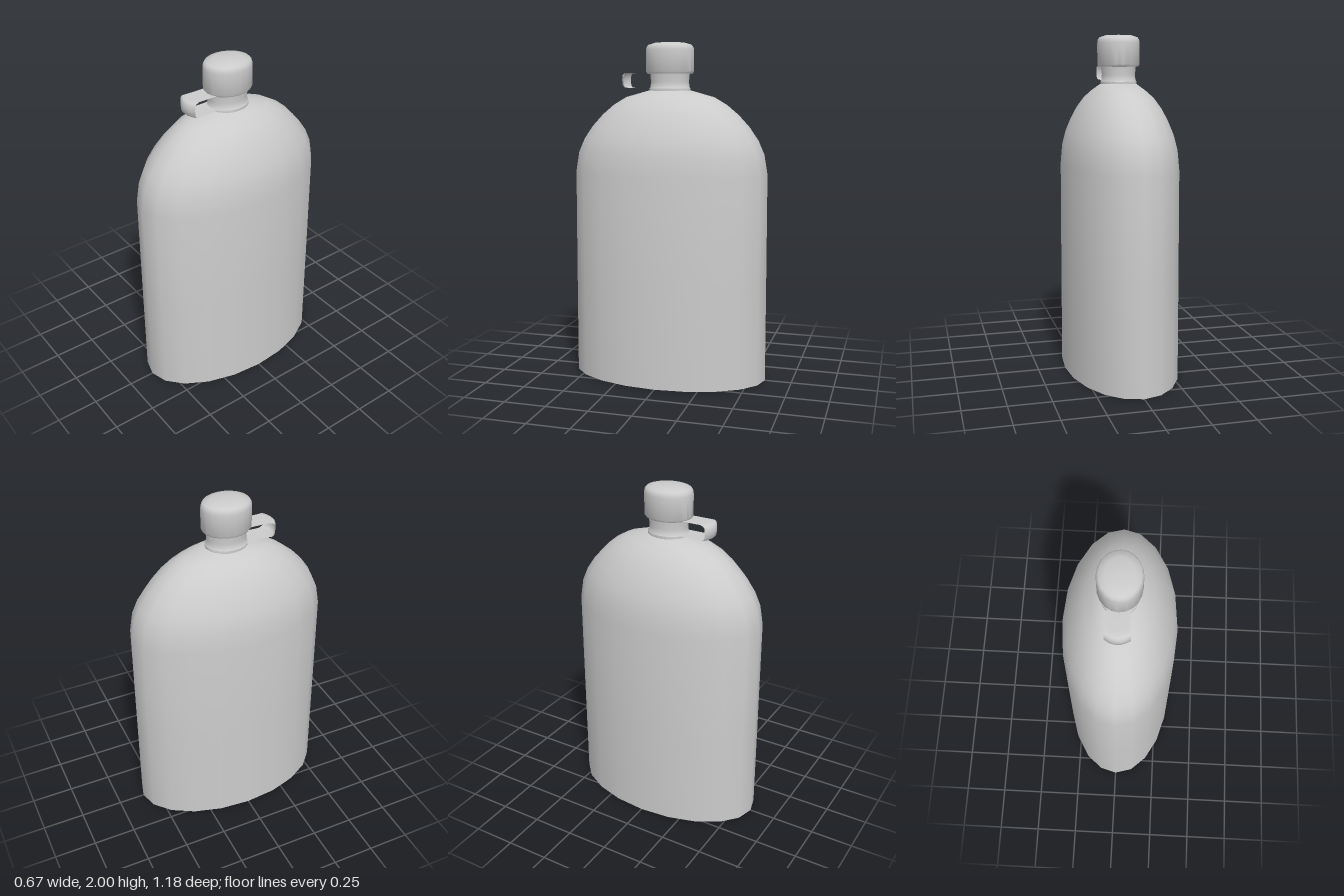
import * as THREE from 'three';
import { toCreasedNormals } from 'three/addons/utils/BufferGeometryUtils.js';

const SIDES = 20;

// Oval lathe: each row is [x radius, z radius, y], bottom to top
function ovalLathe(name, rows, material, crease = 0.7) {
  const points = rows.map(([, rz, y]) => new THREE.Vector2(rz, y));
  const geometry = new THREE.LatheGeometry(points, SIDES);
  const pos = geometry.attributes.position;
  for (let i = 0; i < pos.count; i++) {
    const [rx, rz] = rows[i % rows.length];
    if (rz > 0) pos.setX(i, pos.getX(i) * rx / rz);
  }
  const mesh = new THREE.Mesh(toCreasedNormals(geometry, crease), material);
  mesh.name = name;
  return mesh;
}

// Thin strap folded around a bowed front edge
function strapGeometry() {
  const path = [ // z, y, half width, bow
    [0.09, 1.823, 0.06, 0], [0.24, 1.823, 0.06, 0.01],
    [0.278, 1.82, 0.068, 0.024], [0.289, 1.81, 0.07, 0.026],
    [0.292, 1.78, 0.07, 0.026], [0.289, 1.75, 0.07, 0.026],
    [0.278, 1.738, 0.068, 0.024], [0.24, 1.735, 0.06, 0.01],
    [0.09, 1.735, 0.06, 0],
  ];
  const columns = 8;
  const geometry = new THREE.PlaneGeometry(1, 1, columns, path.length - 1);
  const pos = geometry.attributes.position;
  path.forEach(([z, y, half, bow], row) => {
    for (let c = 0; c <= columns; c++) {
      const t = c / columns * 2 - 1;
      pos.setXYZ(row * (columns + 1) + c, t * half, y, z - bow * t * t);
    }
  });
  return toCreasedNormals(geometry, 0.8);
}

export function createModel() {
  const group = new THREE.Group();
  const grey = new THREE.MeshStandardMaterial({ color: 0xcccccc });
  const thin = new THREE.MeshStandardMaterial({ color: 0xcccccc, side: THREE.DoubleSide });

  // Body: straight oval wall with domed shoulders
  group.add(ovalLathe('body', [
    [0, 0, 0], [0.337, 0.592, 0], [0.335, 0.59, 0.6], [0.332, 0.587, 1.24],
    [0.322, 0.567, 1.355], [0.302, 0.532, 1.435], [0.272, 0.48, 1.51],
    [0.236, 0.415, 1.58], [0.195, 0.345, 1.638], [0.147, 0.27, 1.682],
    [0.1, 0.13, 1.72], [0, 0, 1.722],
  ], grey));

  // Neck with a collar at its foot
  group.add(ovalLathe('neck', [
    [0.095, 0.112, 1.71], [0.105, 0.123, 1.718], [0.105, 0.123, 1.733],
    [0.099, 0.117, 1.74], [0.096, 0.113, 1.77], [0.102, 0.119, 1.83],
  ], grey));

  // Screw cap with rounded rim
  group.add(ovalLathe('cap', [
    [0, 0, 1.818], [0.115, 0.134, 1.818], [0.122, 0.143, 1.83],
    [0.122, 0.143, 1.955], [0.119, 0.139, 1.972], [0.11, 0.128, 1.985],
    [0.075, 0.087, 1.997], [0, 0, 2],
  ], grey));

  // Carrying strap at the front of the neck
  const strap = new THREE.Mesh(strapGeometry(), thin);
  strap.name = 'strap';
  group.add(strap);

  return group;
}
